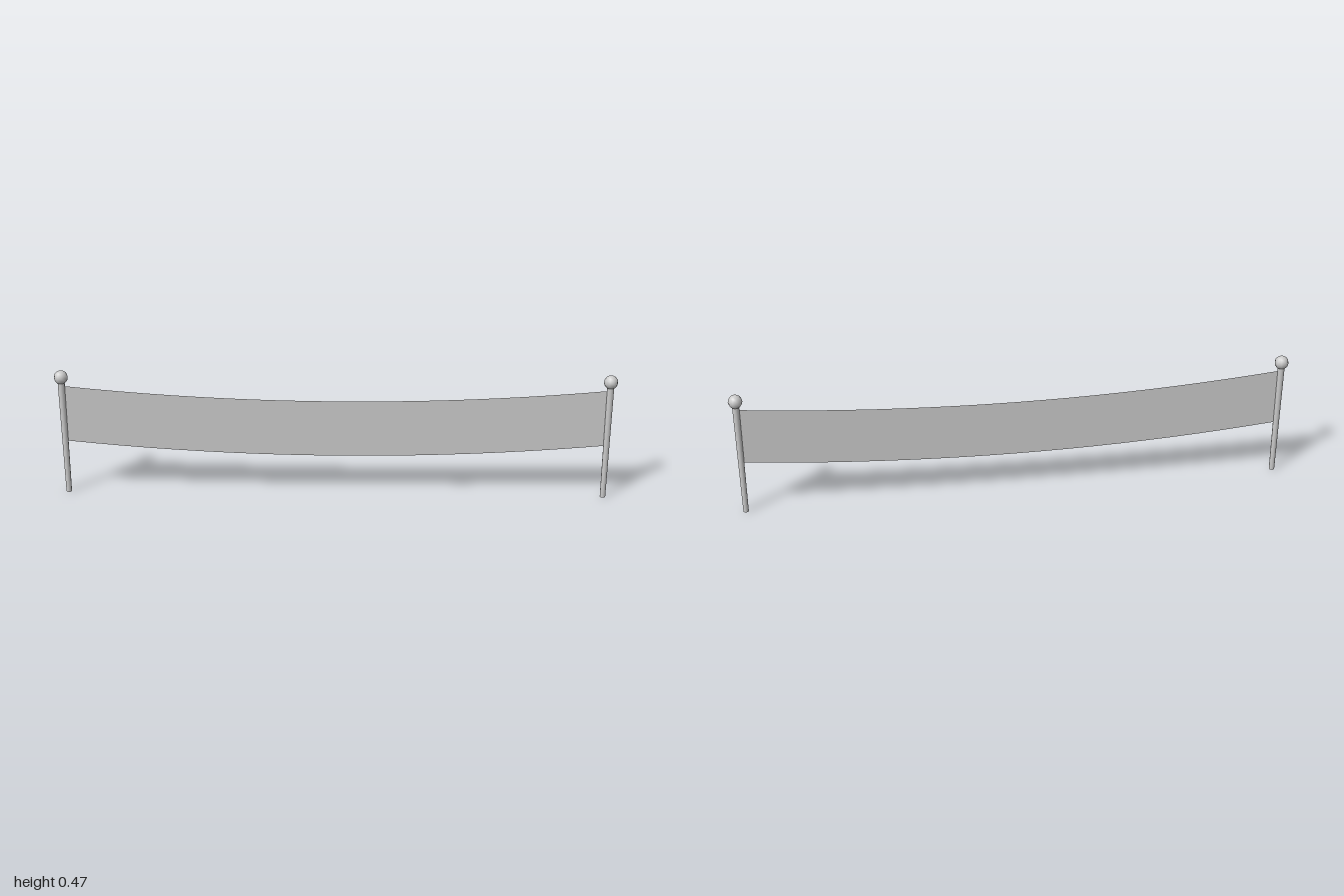
import * as THREE from 'three';

const POST_X = 0.975;

export function createModel() {
  const group = new THREE.Group();
  const grey = new THREE.MeshStandardMaterial({ color: 0xcccccc });
  const cloth = new THREE.MeshStandardMaterial({ color: 0xcccccc, side: THREE.DoubleSide });

  const add = (name, geometry, material, x, y) => {
    const mesh = new THREE.Mesh(geometry, material);
    mesh.name = name;
    mesh.position.set(x, y, 0);
    group.add(mesh);
  };

  // Tapered posts, each topped by a ball
  const postGeometry = new THREE.CylinderGeometry(0.0125, 0.01, 0.435, 10);
  const ballGeometry = new THREE.SphereGeometry(0.025, 10, 8);
  for (const [side, x] of [['left', POST_X], ['right', -POST_X]]) {
    add(`${side}Post`, postGeometry, grey, x, 0.2175);
    add(`${side}PostBall`, ballGeometry, grey, x, 0.448);
  }

  // Banner sagging between the posts in a shallow parabola
  const banner = new THREE.PlaneGeometry(POST_X * 2, 0.212, 20, 1);
  const p = banner.attributes.position;
  for (let i = 0; i < p.count; i++) {
    p.setY(i, p.getY(i) + 0.05 * (p.getX(i) / POST_X) ** 2);
  }
  add('banner', banner, cloth, 0, 0.259);

  return group;
}
